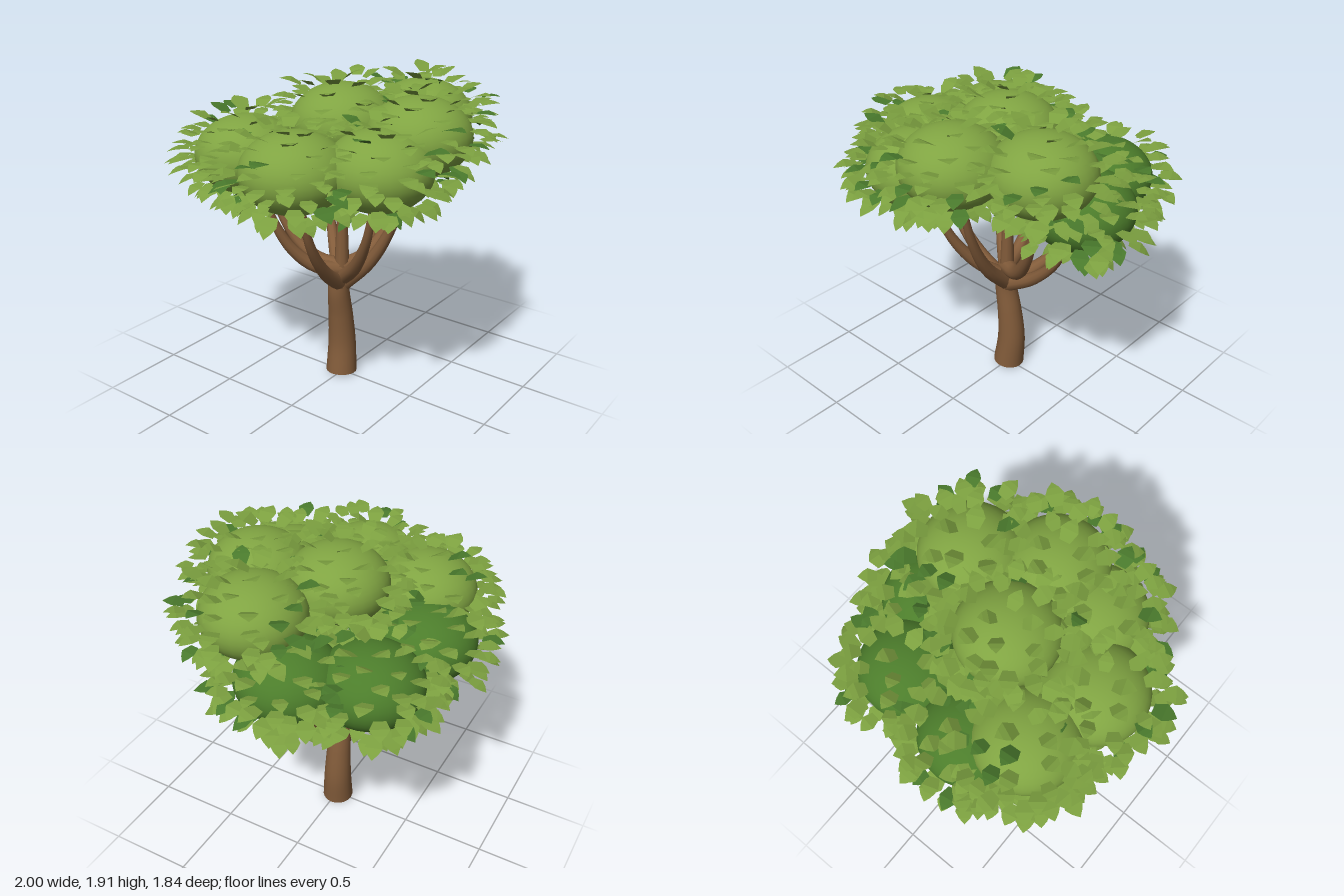
import * as THREE from 'three';
import { mergeGeometries } from 'three/addons/utils/BufferGeometryUtils.js';

const V = (x, y, z) => new THREE.Vector3(x, y, z);

function material(name, color, side = THREE.FrontSide) {
  const m = new THREE.MeshStandardMaterial({ color, side });
  m.name = name;
  return m;
}

function seeded(seed) {
  return () => {
    seed = (seed * 1664525 + 1013904223) % 4294967296;
    return seed / 4294967296;
  };
}

// Tube whose radius shrinks from r0 to r1 along the path
function taperedTube(points, r0, r1, segments, sides) {
  const curve = new THREE.CatmullRomCurve3(points);
  const geo = new THREE.TubeGeometry(curve, segments, 1, sides);
  const pos = geo.attributes.position;
  const p = V(0, 0, 0);
  for (let i = 0; i <= segments; i++) {
    const c = curve.getPointAt(i / segments);
    const r = r0 + (r1 - r0) * (i / segments);
    for (let j = 0; j <= sides; j++) {
      const k = i * (sides + 1) + j;
      p.fromBufferAttribute(pos, k).sub(c).multiplyScalar(r).add(c);
      pos.setXYZ(k, p.x, p.y, p.z);
    }
  }
  return geo;
}

// Pointed leaf along +z with a square base, arching down towards the tip
function leafGeometry() {
  const geo = new THREE.BufferGeometry();
  geo.setAttribute('position', new THREE.Float32BufferAttribute([
    0.028, -0.004, -0.052, 0.046, -0.002, 0.005, 0.028, -0.012, 0.036, 0, -0.026, 0.064,
    -0.028, -0.012, 0.036, -0.046, -0.002, 0.005, -0.028, -0.004, -0.052,
  ], 3));
  geo.setIndex([0, 6, 5, 0, 5, 1, 1, 5, 4, 1, 4, 2, 2, 4, 3]);
  const flat = geo.toNonIndexed();
  flat.computeVertexNormals();
  return flat;
}

export function createModel() {
  const tree = new THREE.Group();
  tree.name = 'tree';
  const bark = material('bark brown', 0x845d3b);
  const light = material('light green', 0x80a442);
  const dark = material('dark green', 0x4c7d2b);
  const leafLight = material('light leaf green', 0x7b9f3f, THREE.DoubleSide);
  const leafDark = material('dark leaf green', 0x49792c, THREE.DoubleSide);

  const add = (geo, mat, name) => {
    const mesh = new THREE.Mesh(geo, mat);
    mesh.name = name;
    tree.add(mesh);
    return mesh;
  };

  // Branch courses as [outward, upward] fractions: from the trunk top, or flatter from a higher fork
  const low = [[0, 0], [0.4, 0.22], [0.71, 0.53], [0.92, 1]];
  const high = [[0, 0], [0.3, 0.06], [0.58, 0.27], [0.83, 0.7], [0.9, 1]];

  // Foliage clumps: centre, colour, height and course of the branch that carries them
  const clumps = [
    { c: V(0.045, 1.587, 0.475), mat: light, fork: 0.6, course: low },
    { c: V(0.455, 1.587, 0.245), mat: light, fork: 0.72, course: high },
    { c: V(-0.26, 1.465, 0.43), mat: light, fork: 0.64, course: low },
    { c: V(-0.53, 1.457, 0.08), mat: light, fork: 0.6, course: low },
    { c: V(-0.41, 1.457, -0.35), mat: light, fork: 0.7, course: high },
    { c: V(0.0, 1.61, 0.0), mat: light, fork: 0.6, course: low },
    { c: V(0.53, 1.315, -0.005), mat: dark, fork: 0.59, course: low },
    { c: V(0.36, 1.31, -0.4), mat: dark, fork: 0.6, course: low },
    { c: V(-0.14, 1.31, -0.48), mat: dark, fork: 0.72, course: high },
  ];
  const rx = 0.295, ry = 0.219;

  // Trunk with a gentle sway, closed at both ends
  const trunkPath = [V(0, 0.008, -0.008), V(0.016, 0.2, -0.015), V(0, 0.4, -0.014), V(-0.025, 0.56, -0.01), V(-0.025, 0.64, -0.005)];
  add(taperedTube(trunkPath, 0.095, 0.062, 24, 20), bark, 'trunk');
  const foot = add(new THREE.CircleGeometry(0.094, 20), bark, 'trunkBase');
  foot.position.copy(trunkPath[0]);
  foot.rotation.set(Math.PI / 2, -0.1, 0);
  const crown = add(new THREE.SphereGeometry(0.062, 16, 10), bark, 'trunkTop');
  crown.position.copy(trunkPath[4]);

  // One curved branch reaching up into each clump
  for (const { c, fork, course } of clumps) {
    const rise = c.y - 0.12 - fork;
    const path = course.map(([out, up]) => V(c.x * out - 0.01 * (1 - out), fork + rise * up, c.z * out));
    add(taperedTube(path, 0.05, 0.013, 18, 10), bark, 'branch');
  }

  // Rounded foliage clumps
  const ball = new THREE.SphereGeometry(1, 32, 20);
  for (const { c, mat } of clumps) {
    const clump = add(ball, mat, 'foliageClump');
    clump.position.copy(c);
    clump.scale.set(rx, ry, rx);
  }

  // Loose leaves on a shell around every clump, thinning out over its top and underside
  const rand = seeded(7);
  const leaf = leafGeometry();
  const batches = [[], []];
  const perClump = 112;
  const buried = (p) => clumps.some(({ c }) =>
    Math.hypot((p.x - c.x) / rx, (p.y - c.y) / ry, (p.z - c.z) / rx) < 0.95);
  const dummy = new THREE.Object3D();
  dummy.rotation.order = 'YXZ';
  for (const { c } of clumps) {
    for (let i = 0; i < perClump; i++) {
      const even = 1 - (2 * (i + 0.5)) / perClump;
      const ny = even * Math.abs(even) ** 0.3;
      const ring = Math.sqrt(1 - ny * ny);
      const a = i * 2.39996 + (rand() - 0.5) * 0.5;
      const shell = 1.1 + rand() * 0.25;
      const reach = ring * (rx * shell + 0.025);
      dummy.position.set(
        c.x + Math.sin(a) * reach,
        c.y + ny * ry * shell + 0.01,
        c.z + Math.cos(a) * reach);
      // Upper leaves tilt up, lower ones droop
      dummy.rotation.set(-ny * 0.6 + (rand() - 0.5) * 0.15, a + (rand() - 0.5) * 0.7, (rand() - 0.5) * 0.2);
      dummy.scale.setScalar(0.88 + rand() * 0.26);
      const shade = rand() < 0.14 ? 1 : 0;
      if (buried(dummy.position)) continue;
      dummy.updateMatrix();
      batches[shade].push(leaf.clone().applyMatrix4(dummy.matrix));
    }
  }
  add(mergeGeometries(batches[0]), leafLight, 'lightLeaves');
  add(mergeGeometries(batches[1]), leafDark, 'darkLeaves');

  return tree;
}
